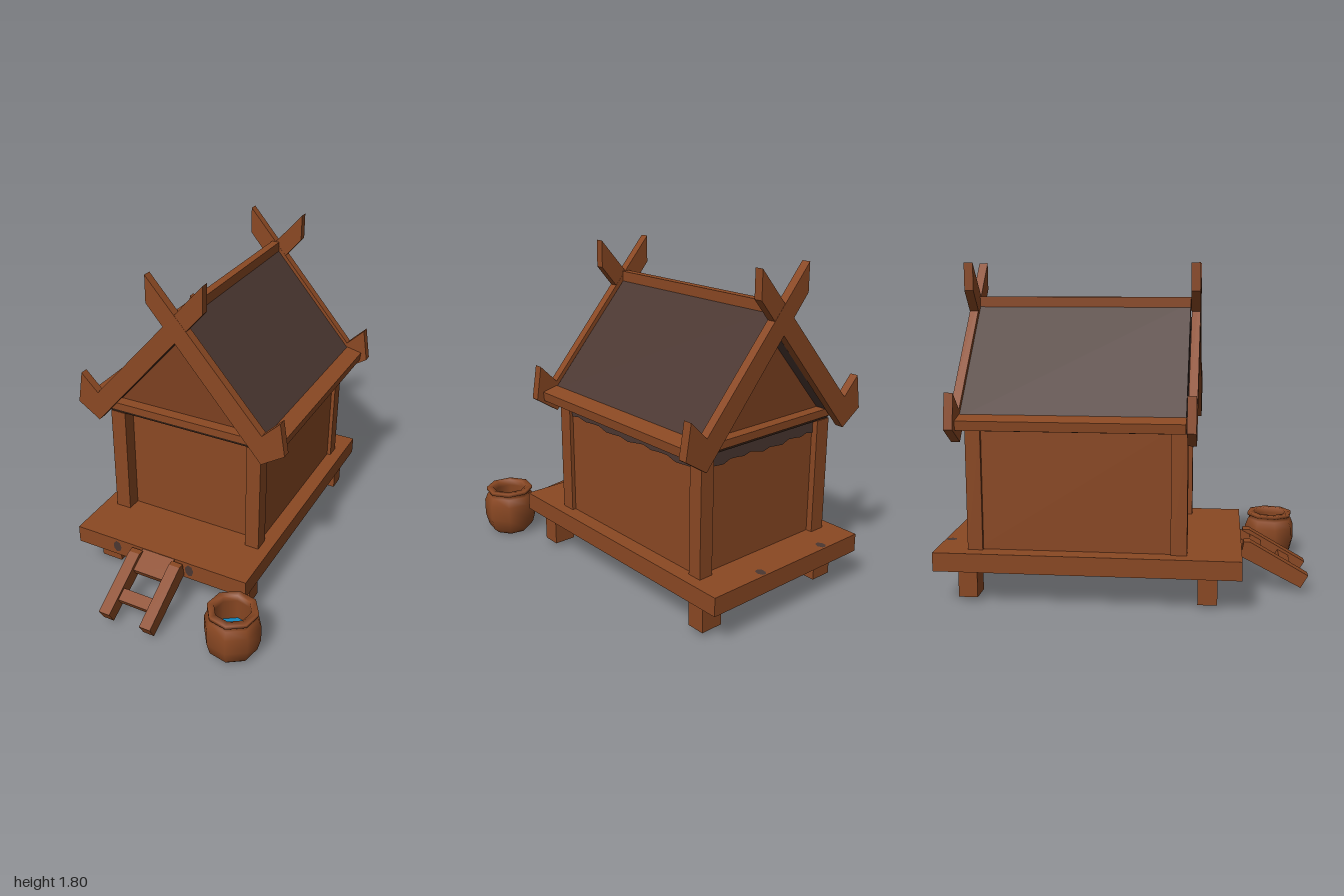
import * as THREE from 'three';

const mat = (name, color) => {
  const m = new THREE.MeshStandardMaterial({ color });
  m.name = name;
  return m;
};

export function createModel() {
  const wood = mat('brown wood', 0x8a4823);
  const gableWood = mat('gable wood', 0x7c4020);
  const thatch = mat('dark roofing', 0x4b3731);
  const shade = mat('dark underside', 0x2e1c12);
  const water = mat('blue water', 0x1286bd);

  const root = new THREE.Group();
  root.name = 'stiltHut';
  const CX = -0.037; // centre line of the roof

  const add = (name, geo, material, parent = root) => {
    const mesh = new THREE.Mesh(geo, material);
    mesh.name = name;
    parent.add(mesh);
    return mesh;
  };
  // box given by its limits on each axis
  const box = (name, material, x0, x1, y0, y1, z0, z1) => {
    const mesh = add(name, new THREE.BoxGeometry(x1 - x0, y1 - y0, z1 - z0), material);
    mesh.position.set((x0 + x1) / 2, (y0 + y1) / 2, (z0 + z1) / 2);
    return mesh;
  };
  // outline in x and y, extruded from z0 to z1
  const slab = (name, material, pts, z0, z1) => {
    const shape = new THREE.Shape(pts.map(p => new THREE.Vector2(p[0], p[1])));
    const geo = new THREE.ExtrudeGeometry(shape, { depth: z1 - z0, bevelEnabled: false });
    geo.translate(0, 0, z0);
    return add(name, geo, material);
  };

  // platform on four feet
  box('platform', wood, -0.56, 0.5, 0.185, 0.287, -1, 0.63);
  for (const [x0, x1] of [[-0.495, -0.367], [0.337, 0.465]])
    for (const [z0, z1] of [[-0.88, -0.777], [0.4, 0.504]])
      box('foot', wood, x0, x1, 0.025, 0.19, z0, z1);

  // walls and corner posts
  box('walls', wood, -0.465, 0.415, 0.28, 0.95, -0.79, 0.26);
  for (const [x0, x1] of [[-0.485, -0.395], [0.355, 0.437]])
    for (const [z0, z1] of [[-0.826, -0.745], [0.257, 0.343]])
      box('cornerPost', wood, x0, x1, 0.28, 0.93, z0, z1);
  box('ceiling', shade, -0.485, 0.41, 0.93, 0.955, -0.82, 0.34);
  box('frontWallShade', shade, -0.395, 0.355, 0.905, 0.93, 0.26, 0.266);

  // dark ragged band under the eaves: right-hand (+x) wall and back wall
  const ragged = (a, b) => {
    const pts = [[a, 0.95]];
    for (let i = 0; i <= 16; i++)
      pts.push([a + (b - a) * i / 16, 0.855 + 0.008 * Math.sin(i * 2.1) + 0.006 * Math.sin(i * 0.7)]);
    pts.push([b, 0.95]);
    return pts;
  };
  const sideBand = slab('sideWallBand', thatch, ragged(-0.257, 0.745), 0, 0.005);
  sideBand.rotation.y = Math.PI / 2;
  sideBand.position.x = 0.415;
  slab('backWallBand', thatch, ragged(-0.395, 0.355), -0.795, -0.79);

  // gable block closing the roof space, with tie beams
  slab('gable', gableWood, [[CX - 0.44, 0.955], [CX + 0.44, 0.955], [CX, 1.47]], -0.77, 0.28);
  for (const [z0, z1] of [[-0.83, -0.765], [0.275, 0.345]])
    box('tieBeam', wood, -0.485, 0.41, 0.945, 0.987, z0, z1);
  for (const [z0, z1] of [[-0.775, -0.77], [0.28, 0.285]])
    slab('gablePeakMark', thatch, [[CX - 0.04, 1.39], [CX + 0.04, 1.39], [CX, 1.45]], z0, z1);

  // mirrored roof sides, eave beams and crossed bargeboards
  for (const s of [1, -1]) {
    const mirror = pts => {
      const out = pts.map(([x, y]) => [CX + s * x, y]);
      return s > 0 ? out : out.reverse();
    };
    slab('roofSide', thatch,
      mirror([[0, 1.46], [0.43, 0.965], [0.51, 0.965], [0.51, 1.01], [0, 1.585]]), -0.835, 0.335);
    slab('eaveBeam', wood,
      mirror([[0.48, 0.965], [0.585, 0.955], [0.59, 1.005], [0.5, 1.026]]), -0.838, 0.337);
    const board = mirror([[-0.163, 1.8], [-0.163, 1.65], [0.497, 0.88],
      [0.627, 0.965], [0.597, 1.15], [0.497, 1.05]]);
    const inset = s > 0 ? 0 : 0.001;
    slab('bargeboard', wood, board, 0.342 + inset, 0.391 - inset);
    slab('bargeboard', wood, board, -0.885 + inset, -0.836 - inset);
  }
  box('ridgeBeam', wood, CX - 0.023, CX + 0.023, 1.54, 1.615, -0.838, 0.337);

  // ladder leaning on the front edge; profile runs along z
  for (const x of [-0.19, 0.062]) {
    const rail = slab('ladderRail', wood,
      [[-0.96, 0.03], [-0.63, 0.2], [-0.645, 0.283], [-0.68, 0.283], [-1, 0.1]], 0, 0.066);
    rail.rotation.y = Math.PI / 2;
    rail.position.x = x;
  }
  for (const [y, z] of [[0.22, 0.705], [0.25, 0.645], [0.133, 0.865]]) {
    const rung = add('ladderRung', new THREE.BoxGeometry(0.2, 0.045, 0.07), wood);
    rung.position.set(-0.032, y, z);
    rung.rotation.x = 0.5;
  }

  // dark stains on the platform
  for (const x of [-0.3, 0.16]) {
    const front = add('frontStain', new THREE.CircleGeometry(0.026, 7), thatch);
    front.scale.y = 1.4;
    front.position.set(x, 0.24, 0.632);
    const top = add('backStain', new THREE.CircleGeometry(0.024, 7), thatch);
    top.rotation.x = -Math.PI / 2;
    top.scale.y = 1.3;
    top.position.set(x - 0.01, 0.289, -0.965);
  }

  // eight-sided water pot
  const pot = new THREE.Group();
  pot.name = 'waterPot';
  pot.position.set(0.52, 0, 0.82);
  pot.rotation.y = 0.2;
  root.add(pot);
  const profile = [[0, 0], [0.105, 0], [0.135, 0.03], [0.153, 0.1], [0.153, 0.19], [0.135, 0.235],
    [0.122, 0.248], [0.138, 0.256], [0.138, 0.275], [0.1, 0.275], [0.1, 0.24], [0.105, 0.1]];
  add('potBody', new THREE.LatheGeometry(profile.map(p => new THREE.Vector2(p[0], p[1])), 8), wood, pot);
  const surface = add('potWater', new THREE.CircleGeometry(0.105, 8), water, pot);
  surface.rotation.x = -Math.PI / 2;
  surface.rotation.z = Math.PI / 2;
  surface.position.y = 0.12;

  return root;
}
